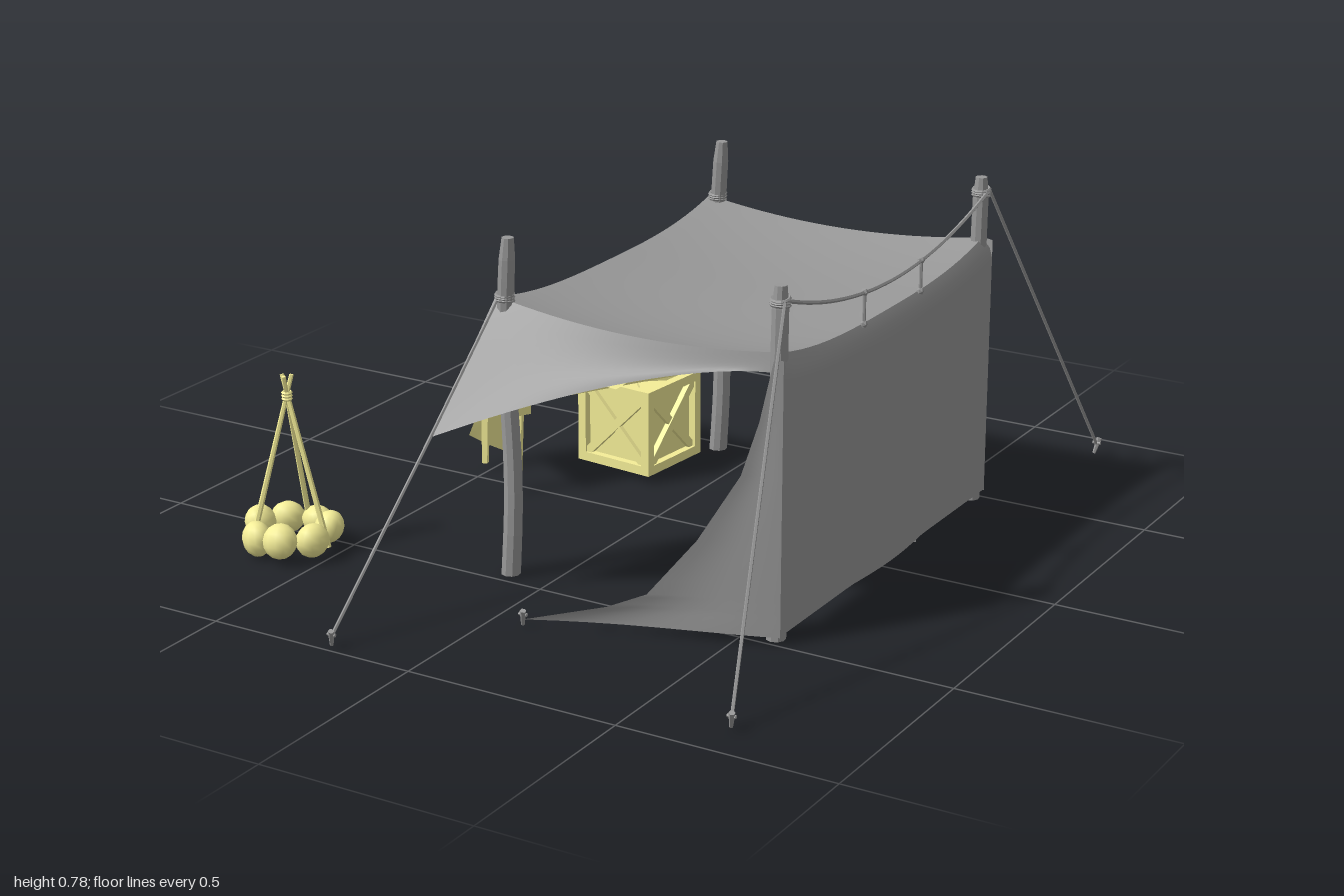
import * as THREE from 'three';

const V = (x, y, z) => new THREE.Vector3(x, y, z);
const grey = new THREE.MeshStandardMaterial({ color: 0x989898, flatShading: true });
const canvas = new THREE.MeshStandardMaterial({ color: 0x989898, side: THREE.DoubleSide });
const tan = new THREE.MeshStandardMaterial({ color: 0xf5ee98, flatShading: true });
const tanSmooth = new THREE.MeshStandardMaterial({ color: 0xf5ee98, side: THREE.DoubleSide });

function add(parent, name, geo, mat, x = 0, y = 0, z = 0) {
  const m = new THREE.Mesh(geo, mat);
  m.name = name;
  m.position.set(x, y, z);
  parent.add(m);
  return m;
}

// Grid surface from a rule f(u, v) -> Vector3
function surface(nu, nv, f) {
  const pos = [], idx = [];
  for (let i = 0; i <= nu; i++)
    for (let j = 0; j <= nv; j++) pos.push(...f(i / nu, j / nv).toArray());
  for (let i = 0; i < nu; i++)
    for (let j = 0; j < nv; j++) {
      const a = i * (nv + 1) + j, b = a + nv + 1;
      idx.push(a, a + 1, b, b, a + 1, b + 1);
    }
  const g = new THREE.BufferGeometry();
  g.setAttribute('position', new THREE.Float32BufferAttribute(pos, 3));
  g.setIndex(idx);
  g.computeVertexNormals();
  return g;
}

// Straight rod between two points
function rod(parent, name, a, b, r0, r1, mat, sides = 6) {
  const m = add(parent, name, new THREE.CylinderGeometry(r1, r0, a.distanceTo(b), sides), mat);
  m.position.copy(a).lerp(b, 0.5);
  m.quaternion.setFromUnitVectors(V(0, 1, 0), b.clone().sub(a).normalize());
}

// Rough pole with slight bends and a narrowed tip
function post(parent, name, x, z, h, bend) {
  const g = new THREE.CylinderGeometry(0.018, 0.022, h, 9, 16);
  const p = g.attributes.position;
  for (let i = 0; i < p.count; i++) {
    const t = p.getY(i) / h + 0.5, k = t > 0.99 ? 0.75 : 1;
    p.setX(i, p.getX(i) * k + bend * Math.sin(t * 7));
    p.setZ(i, p.getZ(i) * k + bend * 0.5 * Math.sin(t * 7 + 1));
  }
  g.computeVertexNormals();
  add(parent, name, g, grey, x, h / 2 + 0.008, z);
}

function ringWrap(parent, x, y, z) {
  for (let i = 0; i < 3; i++) {
    const m = add(parent, 'ropeWrap', new THREE.TorusGeometry(0.019, 0.004, 5, 12), grey, x, y + i * 0.007, z);
    m.rotation.x = Math.PI / 2 + 0.12 * (i - 1);
  }
}

const roofY = (t, s) => 0.645 - 0.12 * t * (1 - t) - 0.04 * (1 - Math.abs(s) ** 3);

function tent() {
  const g = new THREE.Group();
  g.name = 'tent';
  add(g, 'roof', surface(20, 24, (u, v) => {
    const s = v * 2 - 1;
    return V(-0.13 + 0.71 * u, roofY(u, s), s * (0.46 + 0.015 * u));
  }), canvas);
  // Rear wall with a rounded upper edge
  add(g, 'rearWall', surface(24, 24, (u, v) => {
    const s = v * 2 - 1, k = Math.min(1, u / 0.08);
    const x = 0.58 + 0.016 * Math.sqrt(k * (2 - k)) + 0.01 * u * Math.max(0, Math.cos(s * 4.5));
    return V(x, THREE.MathUtils.lerp(roofY(1, s), 0.025, u), s * (0.475 + 0.022 * k));
  }), canvas);
  // Height and reach of the swept edge of the side panels
  const edge = [[0.022, 0.08], [0.065, 0.25], [0.1, 0.33], [0.23, 0.43], [0.38, 0.515], [0.5, 0.55], [0.635, 0.577]];
  for (const s of [1, -1]) {
    // Stretched side awning
    add(g, 'sideAwning', surface(20, 8, (u, v) => {
      const a = V(-0.13 + 0.71 * u, roofY(u, 1), 0.46 + 0.015 * u);
      const b = V(-0.153 + 0.733 * u, 0.6 - 0.213 * (1 - u) ** 1.5, 0.48 + 0.2 * (1 - u) ** 2);
      a.lerp(b, v);
      a.y -= 0.02 * Math.sin(Math.PI * v) * Math.sin(Math.PI * u);
      a.z *= s;
      return a;
    }), canvas);
    // Pegged-out side panel, outside the rear post
    add(g, 'sidePanel', surface(24, 8, (u, v) => {
      const f = u * (edge.length - 1), i = Math.min(edge.length - 2, Math.floor(f));
      const y = THREE.MathUtils.lerp(edge[i][0], edge[i + 1][0], f - i);
      const xe = THREE.MathUtils.lerp(edge[i][1], edge[i + 1][1], f - i);
      const x = THREE.MathUtils.lerp(0.596, xe, v);
      return V(x, y, s * (0.497 + (0.596 - x) * 0.374 - 0.02 * Math.sin(Math.PI * v) * (1 - u) * v));
    }), canvas);
    post(g, 'frontPost', -0.1, s * 0.46, 0.775, 0.008);
    post(g, 'rearPost', 0.573, s * 0.473, 0.78, 0.002);
    ringWrap(g, -0.107, 0.64, s * 0.46);
    ringWrap(g, 0.574, 0.745, s * 0.474);
    // Guy ropes and pegs
    const corner = V(-0.153, 0.39, s * 0.68);
    const lines = [[V(-0.115, 0.65, s * 0.47), corner], [corner, V(-0.205, 0.03, s * 0.985)],
      [V(0.59, 0.755, s * 0.485), V(0.708, 0.03, s * 0.9)]];
    for (const [a, b] of lines) rod(g, 'guyRope', a, b, 0.004, 0.004, grey, 5);
    for (const [x, z] of [[-0.205, 0.985], [0.708, 0.9], [0.08, 0.69]]) {
      rod(g, 'peg', V(x - 0.004, 0.008, s * (z - 0.005)), V(x + 0.004, 0.045, s * (z + 0.006)), 0.004, 0.007, grey);
      rod(g, 'pegHook', V(x - 0.01, 0.034, s * z), V(x + 0.01, 0.034, s * z), 0.004, 0.004, grey);
    }
    // Tie holding the rear wall to the slack line
    rod(g, 'hangingTie', V(0.592, 0.605, s * 0.135), V(0.592, 0.685, s * 0.135), 0.004, 0.004, grey);
    for (const y of [0.612, 0.683])
      add(g, 'tieKnot', new THREE.IcosahedronGeometry(0.009, 0), grey, 0.592, y, s * 0.135);
  }
  const pts = [];
  for (let i = -6; i <= 6; i++) pts.push(V(0.592, 0.675 + 0.083 * (i / 6) ** 2, i * 0.08));
  add(g, 'slackLine', new THREE.TubeGeometry(new THREE.CatmullRomCurve3(pts), 30, 0.0045, 5), grey);
  return g;
}

function bed() {
  const g = new THREE.Group();
  g.name = 'bedroll';
  g.position.set(0.355, 0, -0.296);
  g.rotation.y = Math.PI / 6;
  add(g, 'mattress', new THREE.BoxGeometry(0.265, 0.022, 0.48), grey, 0, 0.021, 0);
  const pillow = add(g, 'pillow', new THREE.CapsuleGeometry(0.026, 0.09, 4, 10), canvas, 0, 0.045, -0.17);
  pillow.rotation.z = Math.PI / 2;
  pillow.scale.x = 0.75;
  return g;
}

function crate() {
  const g = new THREE.Group(), S = 0.21, h = S / 2, w = 0.022;
  g.name = 'crate';
  g.position.set(-0.217, 0.128, -0.28);
  g.rotation.y = -0.1;
  add(g, 'panels', new THREE.BoxGeometry(S - 0.036, S - 0.036, S - 0.036), tan);
  for (const a of [-1, 1]) for (const b of [-1, 1]) {
    const o = h - w / 2;
    add(g, 'frameBeam', new THREE.BoxGeometry(S, w, w), tan, 0, a * o, b * o);
    add(g, 'frameBeam', new THREE.BoxGeometry(w, S, w), tan, a * o, 0, b * o);
    add(g, 'frameBeam', new THREE.BoxGeometry(w, w, S), tan, a * o, b * o, 0);
  }
  // Crossed braces on every face, one slightly proud of the other
  const turns = [[0, 0], [0, 1], [0, 2], [0, 3], [1, 0], [-1, 0]];
  for (const [rx, ry] of turns) {
    const face = new THREE.Group();
    face.name = 'crossBrace';
    face.rotation.set(rx * Math.PI / 2, ry * Math.PI / 2, 0);
    for (const s of [1, -1])
      add(face, 'brace', new THREE.BoxGeometry(S * 1.2, 0.02, 0.014), tan, 0, 0, h - 0.0125 + s * 0.0015).rotation.z = s * Math.PI / 4;
    g.add(face);
  }
  return g;
}

function table() {
  const g = new THREE.Group();
  g.name = 'table';
  g.position.set(-0.345, 0, -0.17);
  g.rotation.y = -Math.PI / 6;
  add(g, 'tableTop', new THREE.BoxGeometry(0.23, 0.012, 0.46), tan, 0, 0.239, 0);
  for (const s of [1, -1]) {
    rod(g, 'tableLeg', V(s * 0.088, 0.02, 0.185), V(s * 0.088, 0.234, 0.18), 0.009, 0.014, tan, 4);
    add(g, 'legBracket', new THREE.BoxGeometry(0.045, 0.03, 0.04), tan, s * 0.088, 0.218, 0.18);
  }
  add(g, 'crossRail', new THREE.BoxGeometry(0.17, 0.022, 0.014), tan, 0, 0.222, 0.18);
  // Cloth lies across the top and hangs down past one long edge
  add(g, 'tableCloth', surface(28, 8, (u, v) => {
    const wx = -0.33 + 0.49 * u, wz = -0.06 + 0.11 * v;
    let x = 0.866 * wx + 0.5 * wz;
    const z = -0.5 * wx + 0.866 * wz, d = -x - 0.118;
    let y = 0.249 + 0.003 * Math.sin(wx * 50 + v * 3);
    if (d > 0) {
      y -= d * 1.15;
      x = -0.12 - 0.03 * d - 0.003 * Math.sin(z * 70);
    }
    return V(x, y, z);
  }), tanSmooth);
  // Torn paper with a jagged rim
  const sh = new THREE.Shape();
  for (let i = 0; i < 18; i++) {
    const a = i / 18 * Math.PI * 2, r = (i % 2 ? 0.05 : 0.075) + 0.008 * Math.sin(i * 2.3);
    sh[i ? 'lineTo' : 'moveTo'](0.035 + r * 0.95 * Math.cos(a), 0.15 + r * Math.sin(a));
  }
  add(g, 'tornPaper', new THREE.ExtrudeGeometry(sh, { depth: 0.008, bevelEnabled: false }), tan, 0, 0.245, 0).rotation.x = -Math.PI / 2;
  for (const [x, z] of [[0.05, 0.14], [0.075, 0.18], [0.03, 0.185]])
    add(g, 'coin', new THREE.CylinderGeometry(0.007, 0.007, 0.008, 10), tan, x, 0.248, z);
  return g;
}

function campfire() {
  const g = new THREE.Group();
  g.name = 'campfire';
  g.position.set(-0.603, 0, 0.592);
  // Ring of uneven stones, longest around the ring
  for (let i = 0; i < 7; i++) {
    const a = i / 7 * Math.PI * 2 + 0.35;
    const st = add(g, 'stone', new THREE.SphereGeometry(0.036, 12, 8), tanSmooth, 0.083 * Math.cos(a), 0.052 + 0.007 * Math.sin(i * 2.4), 0.084 * Math.sin(a));
    st.rotation.set(0.3 * Math.sin(i * 3), -a, 0.4 * Math.sin(i * 1.7));
    st.scale.set(0.93, 1.08 + 0.06 * Math.sin(i), 1.12);
  }
  // Tripod tied near the top
  for (const a of [0, 2.25, -1.7]) {
    const c = Math.cos(a), s = Math.sin(a);
    rod(g, 'tripodPole', V(0.1 * c, 0.03, 0.085 * s), V(-0.012 * c, 0.42, -0.012 * s), 0.007, 0.005, tan);
  }
  for (let i = 0; i < 3; i++)
    add(g, 'tripodTie', new THREE.TorusGeometry(0.009, 0.004, 5, 10), tan, 0, 0.365 + i * 0.007, 0).rotation.x = Math.PI / 2;
  return g;
}

export function createModel() {
  const model = new THREE.Group();
  model.name = 'campSite';
  model.add(tent(), bed(), crate(), table(), campfire());
  return model;
}
